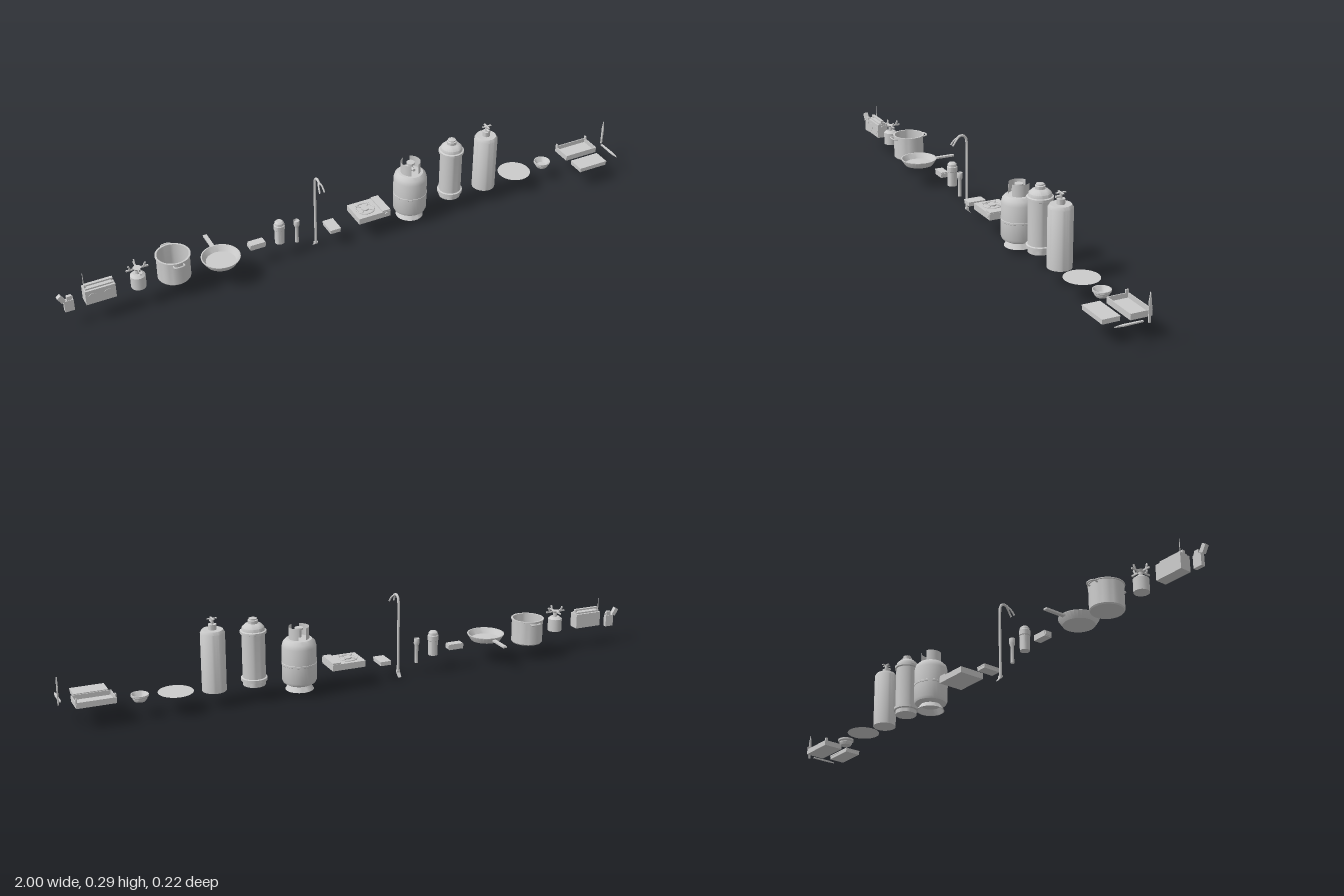
import * as THREE from 'three';
import { toCreasedNormals } from 'three/addons/utils/BufferGeometryUtils.js';

const mat = new THREE.MeshStandardMaterial({ color: 0xcccccc, side: THREE.DoubleSide });

export function createModel() {
  const root = new THREE.Group();

  // Each item is a named group placed at its own spot along the row
  const item = (name, x, y, z) => {
    const g = new THREE.Group();
    g.name = name;
    g.position.set(x, y, z);
    root.add(g);
    return g;
  };
  const add = (g, name, geo, x = 0, y = 0, z = 0) => {
    const m = new THREE.Mesh(geo, mat);
    m.name = name;
    m.position.set(x, y, z);
    g.add(m);
    return m;
  };
  const box = (g, name, w, h, d, x = 0, y = 0, z = 0) =>
    add(g, name, new THREE.BoxGeometry(w, h, d), x, y, z);
  const cyl = (g, name, r, h, x = 0, y = 0, z = 0, rTop = r, n = 24) =>
    add(g, name, new THREE.CylinderGeometry(rTop, r, h, n), x, y, z);
  const lathe = (g, name, pts, n = 32) =>
    add(g, name, toCreasedNormals(
      new THREE.LatheGeometry(pts.map(p => new THREE.Vector2(...p)), n), 0.6));
  const tube = (g, name, pts, r, seg = 24) =>
    add(g, name, new THREE.TubeGeometry(
      new THREE.CatmullRomCurve3(pts.map(p => new THREE.Vector3(...p))), seg, r, 8));

  // Pocket lighter with its lid tipped open
  const lighter = item('lighter', -0.965, 0.06, 0.02);
  box(lighter, 'lighterBody', 0.03, 0.04, 0.014, 0, 0.02);
  box(lighter, 'lighterChimney', 0.016, 0.014, 0.01, 0.003, 0.047);
  cyl(lighter, 'lighterWheel', 0.004, 0.006, 0.011, 0.046).rotation.x = Math.PI / 2;
  box(lighter, 'lighterLid', 0.014, 0.026, 0.014, -0.022, 0.05).rotation.z = 0.55;

  // Portable radio
  const radio = item('radio', -0.868, 0.073, 0.02);
  box(radio, 'radioBody', 0.096, 0.05, 0.038, 0, 0.025);
  box(radio, 'radioTop', 0.09, 0.006, 0.024, 0, 0.052);
  box(radio, 'radioHandle', 0.09, 0.005, 0.01, 0, 0.062);
  for (const s of [-1, 1]) {
    box(radio, 'radioHandleEnd', 0.005, 0.012, 0.01, s * 0.0425, 0.057);
    cyl(radio, 'radioSpeaker', 0.015, 0.002, s * 0.025, 0.024, 0.019).rotation.x = Math.PI / 2;
  }
  cyl(radio, 'radioAntenna', 0.0015, 0.05, -0.042, 0.073, -0.012, 0.001, 8);

  // Small burner with four pot supports
  const burner = item('campBurner', -0.743, 0.073, 0.02);
  cyl(burner, 'burnerCanister', 0.024, 0.043, 0, 0.0215);
  cyl(burner, 'burnerShoulder', 0.024, 0.007, 0, 0.0465, 0, 0.015);
  cyl(burner, 'burnerStem', 0.007, 0.022, 0, 0.058);
  cyl(burner, 'burnerHead', 0.01, 0.006, 0, 0.068, 0, 0.013);
  for (let i = 0; i < 4; i++) {
    const arm = new THREE.Group();
    arm.name = 'burnerArm';
    arm.rotation.y = i * Math.PI / 2;
    burner.add(arm);
    box(arm, 'armBar', 0.032, 0.005, 0.004, 0.02, 0.068);
    box(arm, 'armPost', 0.005, 0.018, 0.004, 0.024, 0.075).rotation.z = -0.4;
  }

  // Cooking pot with two loop handles
  const pot = item('cookingPot', -0.62, 0.055, 0);
  lathe(pot, 'potShell', [[0, 0], [0.05, 0], [0.053, 0.004], [0.053, 0.081], [0.056, 0.082],
    [0.056, 0.085], [0.05, 0.085], [0.05, 0.004], [0, 0.004]]);
  for (const s of [-1, 1])
    tube(pot, 'potHandle', [[-0.016, 0.075, s * 0.05], [-0.016, 0.077, s * 0.062],
      [-0.01, 0.078, s * 0.066], [0.01, 0.078, s * 0.066], [0.016, 0.077, s * 0.062],
      [0.016, 0.075, s * 0.05]], 0.0028);

  // Frying pan, handle to the back
  const pan = item('fryingPan', -0.472, 0.075, 0.025);
  lathe(pan, 'panShell', [[0, 0], [0.05, 0], [0.063, 0.02], [0.063, 0.022], [0.059, 0.022],
    [0.048, 0.004], [0, 0.004]]);
  box(pan, 'panHandle', 0.013, 0.006, 0.075, 0, 0.013, -0.098);

  // Matchbox: sleeve with a slightly narrower drawer
  const matches = item('matchbox', -0.338, 0.07, -0.003);
  box(matches, 'matchboxSleeve', 0.05, 0.019, 0.027, 0, 0.0095);
  box(matches, 'matchboxDrawer', 0.055, 0.013, 0.023, 0, 0.0095);

  // Flask with a cup lid
  const flask = item('flask', -0.256, 0.06, -0.005);
  lathe(flask, 'flaskBody', [[0, 0], [0.016, 0], [0.016, 0.05], [0.018, 0.052], [0.018, 0.068],
    [0.016, 0.07], [0.015, 0.078], [0.01, 0.083], [0, 0.083]], 24);

  // Flashlight standing on its tail
  const torch = item('flashlight', -0.195, 0.04, -0.005);
  lathe(torch, 'flashlightBody', [[0, 0], [0.006, 0], [0.006, 0.058], [0.0095, 0.068],
    [0.0095, 0.085], [0.008, 0.085], [0.006, 0.08], [0, 0.08]], 20);

  // Crowbar: hooked, flattened claw on top, chisel foot below
  const bar = item('crowbar', -0.13, 0, 0);
  tube(bar, 'crowbarShaft', [[0, 0.018, 0], [0, 0.1, 0], [0, 0.25, 0], [0, 0.268, 0.003],
    [0, 0.278, 0.014], [0, 0.277, 0.026], [0, 0.27, 0.036]], 0.0045, 40);
  for (const s of [-1, 1])
    tube(bar, 'crowbarClaw', [[0, 0.275, 0.028], [s * 0.005, 0.267, 0.039],
      [s * 0.007, 0.258, 0.047], [s * 0.008, 0.248, 0.054]], 0.003, 10);
  const foot = new THREE.Shape([[0.0045, 0.022], [-0.0045, 0.022], [-0.0045, 0.014],
    [-0.014, 0], [-0.003, 0.009], [0.0045, 0.016]].map(p => new THREE.Vector2(-p[0], p[1])));
  add(bar, 'crowbarFoot', new THREE.ExtrudeGeometry(foot, { depth: 0.012, bevelEnabled: false }), -0.006)
    .rotation.y = Math.PI / 2;

  // Small flat tin
  const tin = item('flatTin', -0.071, 0.056, -0.001);
  box(tin, 'tinBase', 0.036, 0.009, 0.06, 0, 0.0045);
  box(tin, 'tinLid', 0.038, 0.005, 0.062, 0, 0.0115);

  // Flat single-burner stove
  const stove = item('flatStove', 0.067, 0.07, -0.004);
  box(stove, 'stoveBody', 0.115, 0.021, 0.09, 0, 0.0105);
  box(stove, 'stoveSide', 0.028, 0.006, 0.088, 0.043, 0.023);
  cyl(stove, 'stoveBurner', 0.013, 0.005, -0.014, 0.0235);
  add(stove, 'stoveRing', new THREE.TorusGeometry(0.03, 0.0025, 8, 32), -0.014, 0.022).rotation.x = Math.PI / 2;
  for (let i = 0; i < 4; i++) {
    const a = i * Math.PI / 2 + Math.PI / 4;
    box(stove, 'stoveGrate', 0.018, 0.004, 0.003, -0.014 + 0.025 * Math.cos(a), 0.024,
      -0.025 * Math.sin(a)).rotation.y = a;
  }
  cyl(stove, 'stoveKnob', 0.007, 0.004, 0.043, 0.012, 0.046).rotation.x = Math.PI / 2;

  // Wide gas tank with flared foot and open valve collar
  const tank = item('wideGasTank', 0.2245, 0.015, -0.01);
  lathe(tank, 'tankFoot', [[0.043, 0], [0.046, 0], [0.034, 0.02], [0.031, 0.02], [0.043, 0]]);
  lathe(tank, 'tankBody', [[0, 0.018], [0.04, 0.018], [0.052, 0.025], [0.056, 0.034], [0.056, 0.085],
    [0.057, 0.086], [0.057, 0.092], [0.056, 0.093], [0.056, 0.145], [0.052, 0.16], [0.042, 0.17], [0, 0.175]]);
  for (const s of [0, 1])
    add(tank, 'tankCollar', new THREE.CylinderGeometry(0.033, 0.033, 0.042, 20, 1, true,
      s * Math.PI + 0.4, Math.PI - 0.8), 0, 0.189);
  cyl(tank, 'tankValve', 0.008, 0.03, 0, 0.185);
  cyl(tank, 'tankValveWheel', 0.014, 0.006, 0, 0.203);
  cyl(tank, 'tankOutlet', 0.005, 0.024, 0, 0.188, 0.012).rotation.x = Math.PI / 2;

  // Banded gas cylinder
  const banded = item('bandedGasCylinder', 0.375, 0.05, -0.003);
  lathe(banded, 'bandedBody', [[0, 0], [0.036, 0], [0.036, 0.014], [0.042, 0.016], [0.042, 0.025],
    [0.037, 0.027], [0.037, 0.17], [0.042, 0.172], [0.042, 0.18], [0.037, 0.182], [0.035, 0.192],
    [0.026, 0.201], [0.016, 0.204], [0.016, 0.214], [0.013, 0.216], [0.013, 0.22], [0, 0.22]]);

  // Tall gas cylinder with a cross-shaped tap
  const tall = item('tallGasCylinder', 0.507, 0.05, 0);
  lathe(tall, 'tallBody', [[0, 0], [0.039, 0], [0.039, 0.19], [0.033, 0.2], [0.013, 0.2],
    [0.013, 0.217], [0, 0.217]]);
  cyl(tall, 'tapStem', 0.005, 0.02, 0, 0.226);
  for (const s of [0, 1])
    box(tall, 'tapHandle', 0.032, 0.0025, 0.006, 0, 0.235).rotation.y = s * Math.PI / 2;
  cyl(tall, 'tapOutlet', 0.004, 0.02, 0, 0.224, 0.008).rotation.x = Math.PI / 2;

  // Flat plate
  const plate = item('plate', 0.633, 0.065, -0.003);
  add(plate, 'plateDisc', new THREE.CircleGeometry(0.056, 40)).rotation.x = -Math.PI / 2;

  // Small bowl
  const bowl = item('bowl', 0.747, 0.052, -0.002);
  lathe(bowl, 'bowlShell', [[0, 0], [0.018, 0], [0.023, 0.008], [0.023, 0.012], [0.028, 0.016],
    [0.028, 0.022], [0.025, 0.022], [0.015, 0.007], [0, 0.007]]);

  // Mess tin: open tray and its loose lid
  const tray = item('messTray', 0.889, 0.07, -0.004);
  box(tray, 'trayFloor', 0.122, 0.004, 0.068, 0, 0.002);
  for (const s of [-1, 1]) {
    box(tray, 'traySide', 0.122, 0.019, 0.003, 0, 0.0095, s * 0.034);
    box(tray, 'trayEnd', 0.003, 0.019, 0.068, s * 0.061, 0.0095);
    box(tray, 'trayLug', 0.004, 0.012, 0.01, s * 0.06, 0.024, -0.029);
  }
  const lid = item('messLid', 0.884, 0.068, 0.083);
  box(lid, 'lidPanel', 0.106, 0.012, 0.056, 0, 0.006);
  box(lid, 'lidRim', 0.108, 0.004, 0.058, 0, 0.013);

  // Two slim knives: one upright, one lying to the front
  const knife = () => {
    const s = new THREE.Shape([[-0.003, 0], [0.003, 0], [0.004, 0.045], [0.0045, 0.06],
      [0, 0.09], [-0.0045, 0.06], [-0.004, 0.045]].map(p => new THREE.Vector2(...p)));
    return new THREE.ExtrudeGeometry(s, { depth: 0.004, bevelEnabled: false });
  };
  add(item('uprightKnife', 0.996, 0.076, 0), 'uprightKnifeBlade', knife(), -0.002).rotation.y = Math.PI / 2;
  add(item('lyingKnife', 0.987, 0.082, 0.014), 'lyingKnifeBlade', knife(), 0, 0, 0)
    .rotation.x = Math.PI / 2;

  return root;
}
